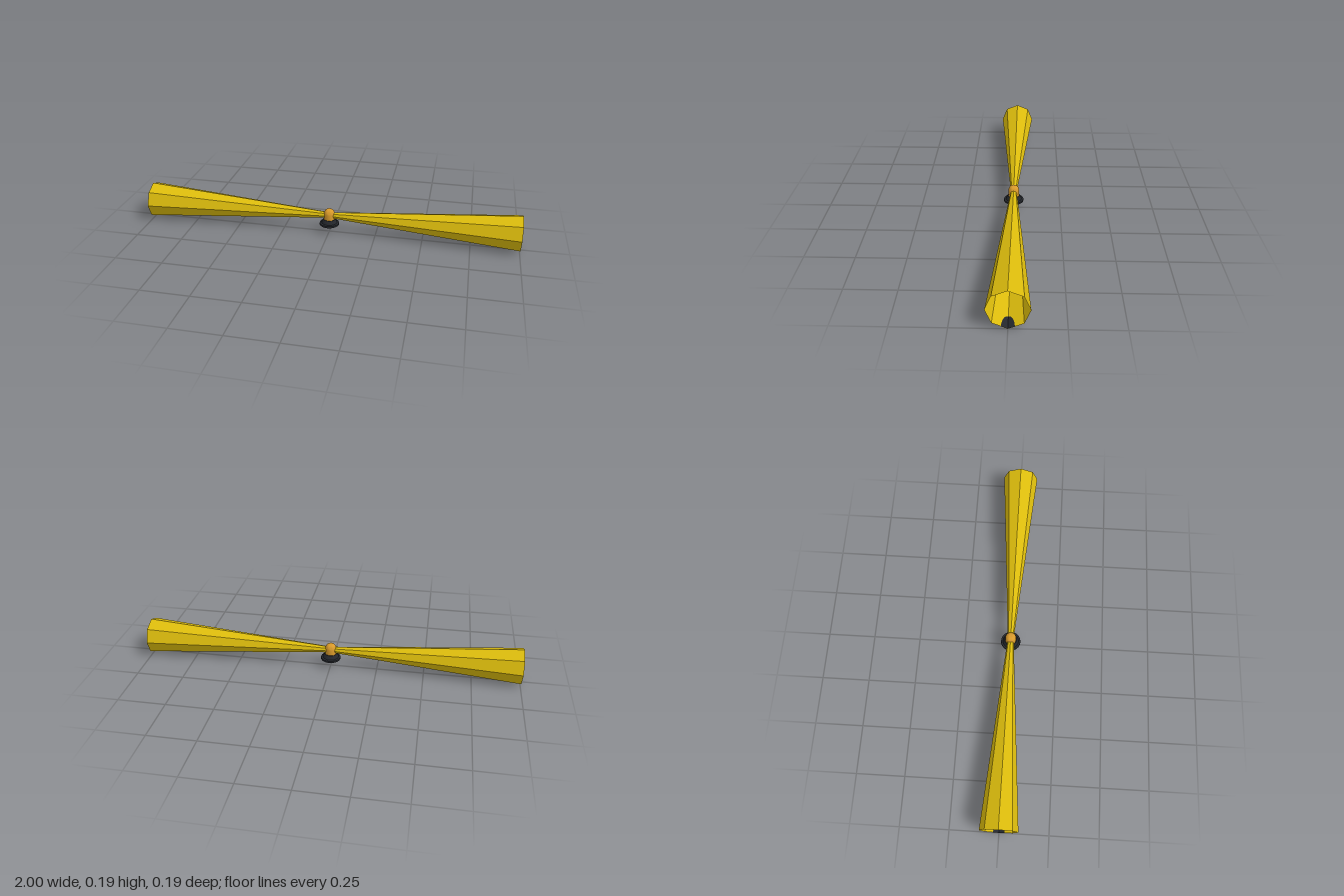
import * as THREE from 'three';
import { toCreasedNormals } from 'three/addons/utils/BufferGeometryUtils.js';

const AXIS_Y = 0.0965, NEAR_X = 0.012, NEAR_R = 0.0165, FAR_R = 0.0965;

function material(name, color, options = {}) {
  const m = new THREE.MeshStandardMaterial({ color, ...options });
  m.name = name;
  return m;
}

function part(name, geometry, mat) {
  const mesh = new THREE.Mesh(geometry, mat);
  mesh.name = name;
  return mesh;
}

function lathe(points, sides) {
  const profile = points.map(([r, y]) => new THREE.Vector2(r, y));
  return toCreasedNormals(new THREE.LatheGeometry(profile, sides), 0.6);
}

// Half-oval mark folded over the lowest edge of a beam, at its open end
function markGeometry(side, scale) {
  const positions = [];
  const onBeam = (x, s) => {
    const r = scale * (NEAR_R + (FAR_R - NEAR_R) * (x - NEAR_X) / (1 - NEAR_X));
    const t = Math.abs(s), k = Math.SQRT1_2;
    return [side * x, AXIS_Y - r * (1 - t + t * k), Math.sign(s) * r * t * k];
  };
  const steps = 12;
  for (let i = 0; i < steps; i++) {
    const rim = [i, i + 1].map((j) => {
      const a = Math.PI * (j / steps - 0.5);
      return onBeam(1 - 0.07 * Math.cos(a), 0.43 * Math.sin(a));
    });
    positions.push(...onBeam(1, 0), ...rim[0], ...rim[1]);
  }
  const g = new THREE.BufferGeometry();
  g.setAttribute('position', new THREE.Float32BufferAttribute(positions, 3));
  g.computeVertexNormals();
  return g;
}

export function createModel() {
  const model = new THREE.Group();
  model.name = 'beaconLight';
  const beamYellow = material('beam yellow', 0xdcbc0c, { side: THREE.DoubleSide, flatShading: true });
  const lampAmber = material('lamp amber', 0xd99a2b);
  const baseBlack = material('base black', 0x24272c, { side: THREE.DoubleSide });

  // Stepped round foot
  model.add(part('base', lathe([
    [0, 0.043], [0.052, 0.043], [0.053, 0.046], [0.052, 0.053], [0.042, 0.055],
    [0.038, 0.064], [0.032, 0.075], [0, 0.075],
  ], 20), baseBlack));

  // Domed lamp
  const dome = [[0, 0.07], [0.029, 0.07]];
  for (let i = 0; i <= 6; i++) {
    const a = (i / 6) * Math.PI / 2;
    dome.push([0.029 * Math.cos(a), 0.105 + 0.029 * Math.sin(a)]);
  }
  model.add(part('lamp', lathe(dome, 16), lampAmber));

  // Two open, eight-sided beams with a dark mark under each end
  for (const side of [1, -1]) {
    const length = 1 - NEAR_X;
    const cone = new THREE.CylinderGeometry(FAR_R, NEAR_R, length, 8, 1, true);
    cone.rotateZ(-side * Math.PI / 2);
    cone.translate(side * (NEAR_X + length / 2), AXIS_Y, 0);
    const beam = new THREE.Group();
    beam.name = side > 0 ? 'leftBeam' : 'rightBeam';
    beam.add(part('beamCone', cone, beamYellow));
    beam.add(part('markOutside', markGeometry(side, 1.008), baseBlack));
    beam.add(part('markInside', markGeometry(side, 0.992), baseBlack));
    model.add(beam);
  }
  return model;
}
